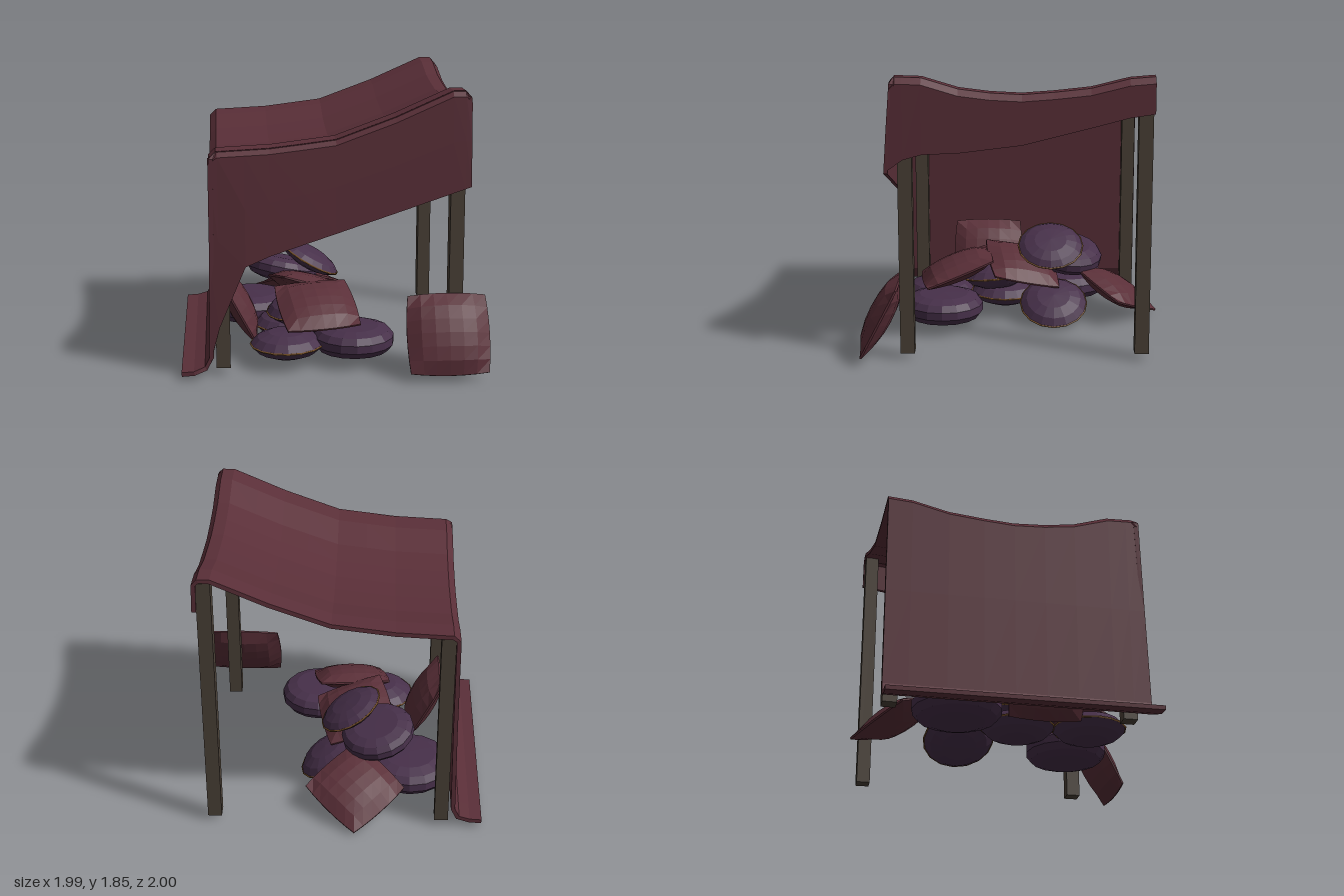
import * as THREE from 'three';

const cloth = new THREE.MeshStandardMaterial({ color: 0x5a2f38 });
cloth.name = 'wine cloth';
const purple = new THREE.MeshStandardMaterial({ color: 0x47304a });
purple.name = 'purple fabric';
const wood = new THREE.MeshStandardMaterial({ color: 0x4c4238 });
wood.name = 'dark wood';
const gold = new THREE.MeshStandardMaterial({ color: 0x75502a });
gold.name = 'gold piping';

// piecewise linear lookup in [[x, y], ...]
function lookup(table, x) {
  for (let i = 1; i < table.length; i++) {
    const [x0, y0] = table[i - 1], [x1, y1] = table[i];
    if (x <= x1) return y0 + (y1 - y0) * (x - x0) / (x1 - x0);
  }
  return table[table.length - 1][1];
}

const roofLine = [[-0.8, 1.5], [-0.4, 1.52], [0, 1.57], [0.38, 1.71], [0.74, 1.87], [0.9, 1.87]];
const sagLine = [[-0.9, 0], [-0.72, 0.015], [-0.48, 0.075], [-0.25, 0.1], [-0.05, 0.115],
  [0.15, 0.105], [0.35, 0.08], [0.58, 0.01], [0.9, 0]];
const sideHem = [[-0.9, 1.64], [-0.78, 1.63], [-0.48, 1.55], [-0.05, 1.44], [0.35, 1.39], [0.58, 1.38], [0.72, 1.34], [0.8, 1.28]];
const frontHem = [[-0.82, 0.1], [-0.75, 0.36], [-0.58, 0.76], [-0.42, 0.83], [0, 0.97], [0.86, 1.26]];
const roofY = (x, z) => lookup(roofLine, x) - lookup(sagLine, z);

function flat(geometry) {
  const g = geometry.index ? geometry.toNonIndexed() : geometry;
  g.computeVertexNormals();
  return g;
}

function mesh(name, geometry, material) {
  const m = new THREE.Mesh(geometry, material);
  m.name = name;
  return m;
}

// closed thick cloth from a grid of points; rows run along u, columns along v
function sheet(grid, thickness) {
  const nu = grid.length, nv = grid[0].length, count = nu * nv;
  const id = (i, j) => i * nv + j;
  const index = [];
  for (let i = 0; i < nu - 1; i++) for (let j = 0; j < nv - 1; j++) {
    const a = id(i, j), b = id(i, j + 1), c = id(i + 1, j + 1), d = id(i + 1, j);
    index.push(a, b, c, a, c, d);
  }
  const outer = new THREE.BufferGeometry();
  outer.setAttribute('position', new THREE.Float32BufferAttribute(grid.flat(2), 3));
  outer.setIndex(index);
  outer.computeVertexNormals();
  const p = outer.attributes.position.array, n = outer.attributes.normal.array;
  const inner = Array.from(p, (v, k) => v - n[k] * thickness);
  const all = index.slice();
  for (let k = 0; k < index.length; k += 3) {
    all.push(index[k] + count, index[k + 2] + count, index[k + 1] + count);
  }
  // rim around the four edges
  const loop = [];
  for (let j = 0; j < nv - 1; j++) loop.push(id(0, j));
  for (let i = 0; i < nu - 1; i++) loop.push(id(i, nv - 1));
  for (let j = nv - 1; j > 0; j--) loop.push(id(nu - 1, j));
  for (let i = nu - 1; i > 0; i--) loop.push(id(i, 0));
  loop.forEach((a, k) => {
    const b = loop[(k + 1) % loop.length];
    all.push(b, a, a + count, b, a + count, b + count);
  });
  const g = new THREE.BufferGeometry();
  g.setAttribute('position', new THREE.Float32BufferAttribute([...p, ...inner], 3));
  g.setIndex(all);
  return flat(g);
}

function place(object, position, normal, spin = 0) {
  object.position.set(...position);
  object.quaternion.setFromUnitVectors(new THREE.Vector3(0, 1, 0), new THREE.Vector3(...normal).normalize());
  object.rotateY(spin);
  return object;
}

// square pillow with thin edges and slightly pinched corners
function squareCushion(size, thick) {
  const g = new THREE.BoxGeometry(2, 2, 2, 6, 1, 6);
  const p = g.attributes.position;
  for (let i = 0; i < p.count; i++) {
    const u = p.getX(i), v = p.getZ(i);
    const bulge = Math.pow(Math.max(0, (1 - u * u) * (1 - v * v)), 0.6);
    p.setXYZ(i, u * size / 2 * (1 - 0.06 * v * v), p.getY(i) * (0.006 + thick / 2 * bulge),
      v * size / 2 * (1 - 0.06 * u * u));
  }
  return mesh('squareCushion', flat(g), cloth);
}

// round pillow: plain with a blunt rim, or piped with a sharp rim
function roundCushion(r, thick, piped) {
  const half = piped ? [[0, 1], [0.5, 0.9], [0.82, 0.55], [1, 0.05]] : [[0, 1], [0.62, 0.97], [0.88, 0.72], [1, 0.28]];
  const profile = [...half.map(([x, y]) => [x, -y]), ...half.slice().reverse()]
    .map(([x, y]) => new THREE.Vector2(x * r, y * thick / 2));
  const group = new THREE.Group();
  group.name = 'roundCushion';
  group.add(mesh('cushionBody', flat(new THREE.LatheGeometry(profile, 16)), purple));
  if (piped) {
    const ring = mesh('piping', new THREE.TorusGeometry(r, 0.007, 5, 16), gold);
    ring.rotation.x = Math.PI / 2;
    group.add(ring);
  }
  return group;
}

export function createModel() {
  const model = new THREE.Group();
  model.name = 'cushionTent';

  // roof, long side wall with ground flare, and short side flap in one sheet
  const zs = [-0.88, -0.72, -0.48, -0.25, -0.05, 0.15, 0.35, 0.58, 0.7, 0.75];
  const roofXs = [-0.76, -0.58, -0.4, -0.2, 0, 0.2, 0.38, 0.56, 0.74, 0.82];
  const columns = zs.map((z, k) => {
    const points = [
      [-1, 0.075], [-0.92, 0.08], [-0.85, 0.1], [-0.82, 0.16], [-0.81, 0.8],
      [-0.805, roofY(-0.8, z) - 0.04],
      ...roofXs.map(x => [x, roofY(x, z)]),
      [0.855, roofY(0.85, z) - 0.04], [0.86, k === zs.length - 1 ? 1.28 : lookup(sideHem, z)],
    ];
    return points.map(([x, y]) => {
      const onWall = x < -0.78 || x > 0.84;
      const front = onWall ? 0.78 + 0.04 * (1 - y / 1.8) + (x < -0.9 ? 0.03 : 0) : z;
      return [x, y, k === zs.length - 1 ? front : z];
    });
  });
  const grid = columns[0].map((_, i) => columns.map(c => c[i]));
  model.add(mesh('canopy', sheet(grid, 0.028), cloth));

  // front curtain with slanting hem
  const frontXs = [-0.81, -0.75, -0.58, -0.42, -0.2, 0, 0.2, 0.38, 0.56, 0.74, 0.82, 0.858];
  const curtain = frontXs.map(x => {
    const corner = x < -0.8 || x > 0.85 ? 0.04 : 0;
    const top = roofY(x, 0.75) - corner, hem = lookup(frontHem, x);
    return [[x, top, 0.745], [x, top - 0.035, 0.78], [x, (top + hem) / 2, 0.8], [x, hem, 0.82]];
  });
  model.add(mesh('frontCurtain', sheet(curtain, 0.025), cloth));

  // four corner posts
  for (const x of [-0.73, 0.785]) for (const z of [-0.825, 0.69]) {
    const top = roofY(x, z) - 0.03;
    const post = mesh('post', new THREE.BoxGeometry(0.092, top - 0.06, 0.092), wood);
    post.position.set(x, (top + 0.06) / 2, z);
    model.add(post);
  }

  // square cushions: position, facing, spin, size
  const squares = [
    [[0.72, 0.3, 0.865], [0, 0.46, 0.88], 0, 0.54],
    [[-0.62, 0.335, 0.2], [0.88, 0.46, 0], 0, 0.5],
    [[-0.1, 0.37, 0.41], [0.02, 0.93, 0.36], 0.15, 0.52],
    [[-0.14, 0.385, -0.05], [0.25, 0.9, -0.28], 0.2, 0.5],
    [[-0.15, 0.2, -0.71], [0, 0.876, -0.483], Math.PI / 4, 0.5],
  ];
  for (const [position, normal, spin, size] of squares) {
    model.add(place(squareCushion(size, 0.15), position, normal, spin));
  }

  // round cushions: position, facing, radius, thickness, piped
  const rounds = [
    [[0.14, 0.165, 0.49], [0, 1, 0], 0.27, 0.19, false],
    [[-0.52, 0.155, -0.37], [0, 1, 0], 0.29, 0.2, false],
    [[-0.31, 0.155, 0.54], [0, 1, 0], 0.24, 0.18, true],
    [[-0.27, 0.15, 0.07], [0, 1, 0], 0.24, 0.18, true],
    [[0.03, 0.15, -0.27], [0.5, 0.87, 0], 0.23, 0.16, true],
    [[-0.2, 0.28, 0.13], [-0.15, 0.98, 0.1], 0.23, 0.17, true],
    [[-0.3, 0.42, -0.37], [0.2, 0.95, -0.15], 0.25, 0.17, false],
    [[-0.11, 0.525, -0.25], [0.5, 0.87, 0], 0.225, 0.13, true],
  ];
  for (const [position, normal, r, thick, piped] of rounds) {
    model.add(place(roundCushion(r, thick, piped), position, normal));
  }
  return model;
}
